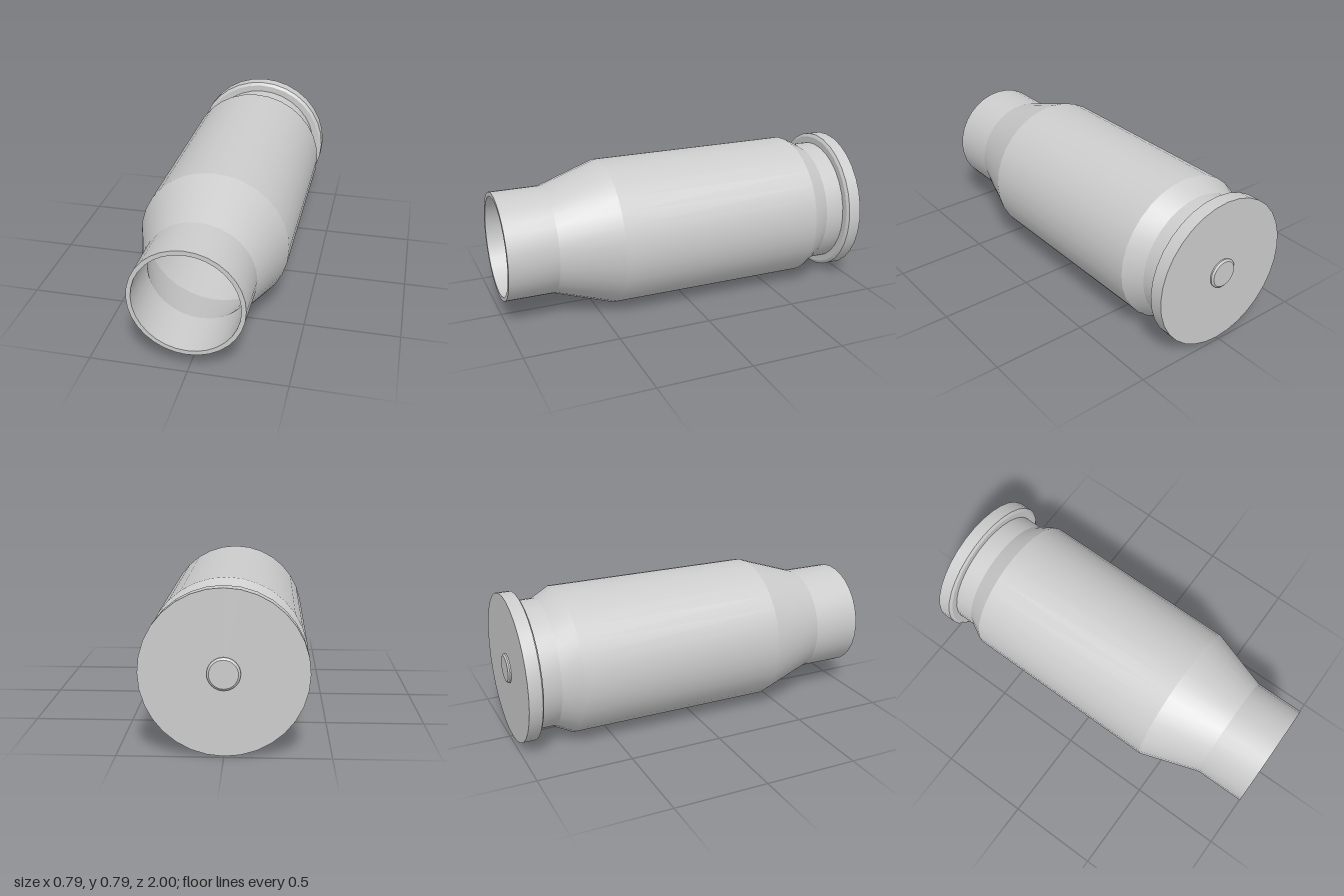
import * as THREE from 'three';
import { toCreasedNormals } from 'three/addons/utils/BufferGeometryUtils.js';

const SEGMENTS = 32;
const RADIUS = 0.395;

// Turns a [radius, z] profile around the z axis, keeping the profile's edges sharp
function turned(name, profile, material) {
  const points = profile.map(([r, z]) => new THREE.Vector2(r, z));
  const geometry = new THREE.LatheGeometry(points, SEGMENTS).rotateX(Math.PI / 2);
  const mesh = new THREE.Mesh(toCreasedNormals(geometry, 0.25), material);
  mesh.name = name;
  mesh.position.y = RADIUS;
  return mesh;
}

export function createModel() {
  const group = new THREE.Group();
  group.name = 'cartridgeCase';
  const material = new THREE.MeshStandardMaterial({ color: 0xcccccc });

  // Hollow case: rim, extractor groove, body, shoulder and neck, then back down the inside
  group.add(turned('case', [
    [0, -0.985], [RADIUS, -0.985],
    [RADIUS, -0.915], [0.378, -0.905],
    [0.342, -0.905], [0.342, -0.8],
    [RADIUS, -0.7], [RADIUS, 0.415],
    [0.29, 0.735], [0.29, 1],
    [0.267, 1], [0.267, 0.73],
    [0.372, 0.41], [0.372, -0.7],
    [0, -0.7],
  ], material));

  // Primer standing slightly proud of the base
  group.add(turned('primer', [
    [0, -1], [0.068, -1], [0.078, -0.992], [0.078, -0.98],
  ], material));

  return group;
}
